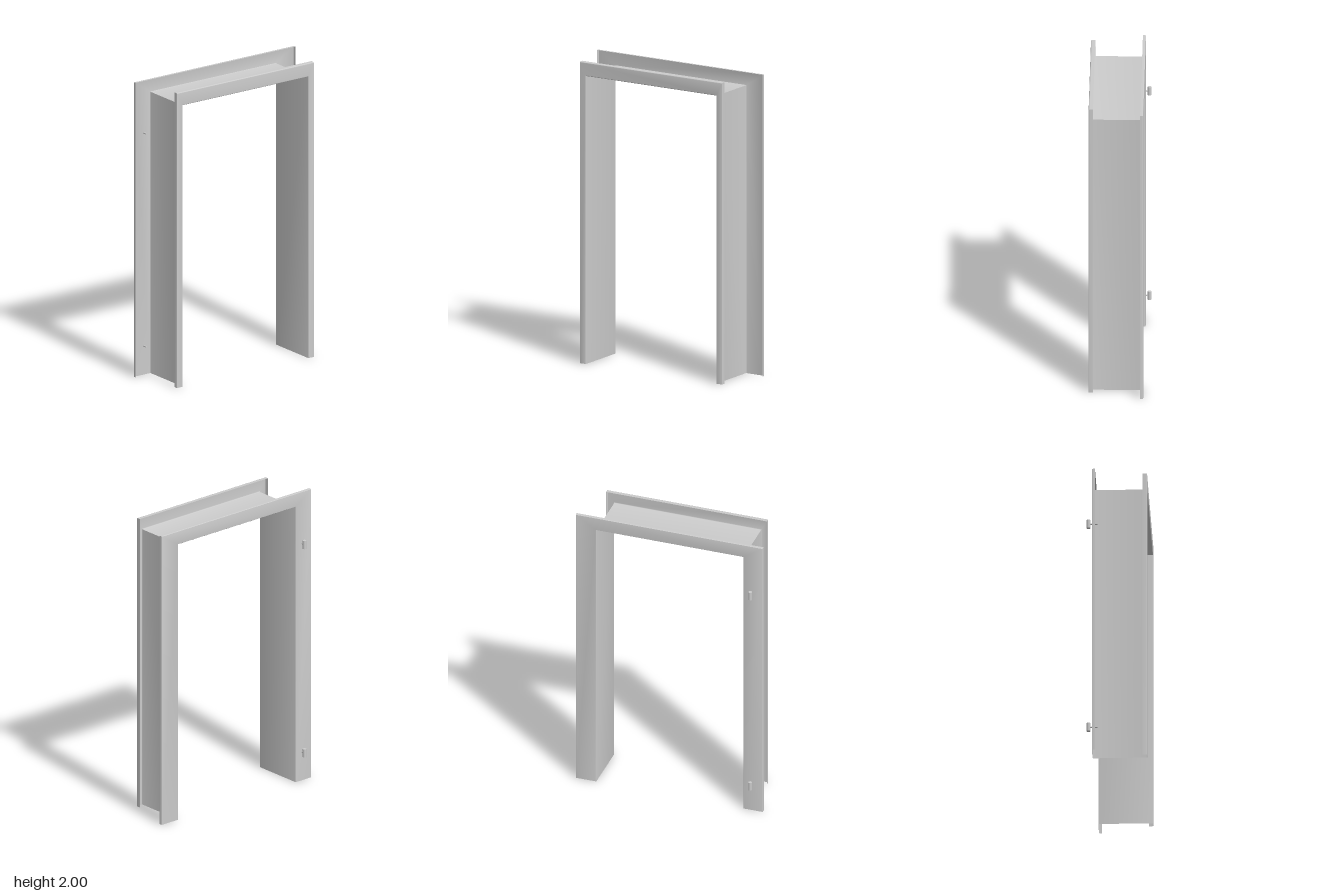
import * as THREE from 'three';
import { toCreasedNormals } from 'three/addons/utils/BufferGeometryUtils.js';

const material = new THREE.MeshStandardMaterial({ color: 0xcccccc });
const sheetMaterial = new THREE.MeshStandardMaterial({ color: 0xcccccc, side: THREE.DoubleSide });

// Bends of the folded sheet: x, z of the front jamb, z of the back jamb, height of the head
const bends = [
  [-0.142, 0.639, -0.639, 2],
  [-0.162, 0.639, -0.639, 2],
  [-0.162, 0.506, -0.498, 1.909],
  [0.192, 0.506, -0.498, 1.909],
  [0.192, 0.554, -0.544, 2],
  [0.163, 0.554, -0.544, 2],
].map((p) => new THREE.Vector4(...p));

// Replaces every inner bend by a small curve
function roundBends(points, radius, steps) {
  const out = [points[0]];
  for (let i = 1; i < points.length - 1; i++) {
    const p = points[i];
    const toward = (q) => p.clone().lerp(q, radius / q.clone().sub(p).length());
    const a = toward(points[i - 1]);
    const b = toward(points[i + 1]);
    for (let s = 0; s <= steps; s++) {
      const t = s / steps;
      out.push(a.clone().lerp(p, t).lerp(p.clone().lerp(b, t), t));
    }
  }
  out.push(points[points.length - 1]);
  return out;
}

// Folded profile carried up one jamb, across the head and down the other
function frameGeometry() {
  const profile = roundBends(bends, 0.008, 4);
  const positions = [];
  const index = [];
  for (const { x, y: front, z: back, w: top } of profile) {
    positions.push(x, 0, front, x, top, front, x, top, back, x, 0, back);
  }
  for (let i = 0; i < profile.length - 1; i++) {
    for (let j = 0; j < 3; j++) {
      const a = i * 4 + j;
      index.push(a, a + 4, a + 1, a + 1, a + 4, a + 5);
    }
  }
  const geometry = new THREE.BufferGeometry();
  geometry.setAttribute('position', new THREE.Float32BufferAttribute(positions, 3));
  geometry.setIndex(index);
  return toCreasedNormals(geometry, 0.6);
}

// Upright knuckle on a pin that passes through the wide flange
function createHinge(y) {
  const hinge = new THREE.Group();
  hinge.name = 'hinge';
  const knuckle = new THREE.Mesh(new THREE.CylinderGeometry(0.012, 0.012, 0.057, 24), material);
  knuckle.name = 'hingeKnuckle';
  knuckle.position.x = -0.186;
  const pin = new THREE.Mesh(new THREE.CylinderGeometry(0.005, 0.005, 0.056, 16), material);
  pin.name = 'hingePin';
  pin.rotation.z = Math.PI / 2;
  pin.position.x = -0.156;
  hinge.add(knuckle, pin);
  hinge.position.set(0, y, 0.561);
  return hinge;
}

export function createModel() {
  const model = new THREE.Group();
  model.name = 'doorFrame';
  const frame = new THREE.Mesh(frameGeometry(), sheetMaterial);
  frame.name = 'foldedFrame';
  model.add(frame);
  for (const y of [0.196, 1.642]) model.add(createHinge(y));
  return model;
}
